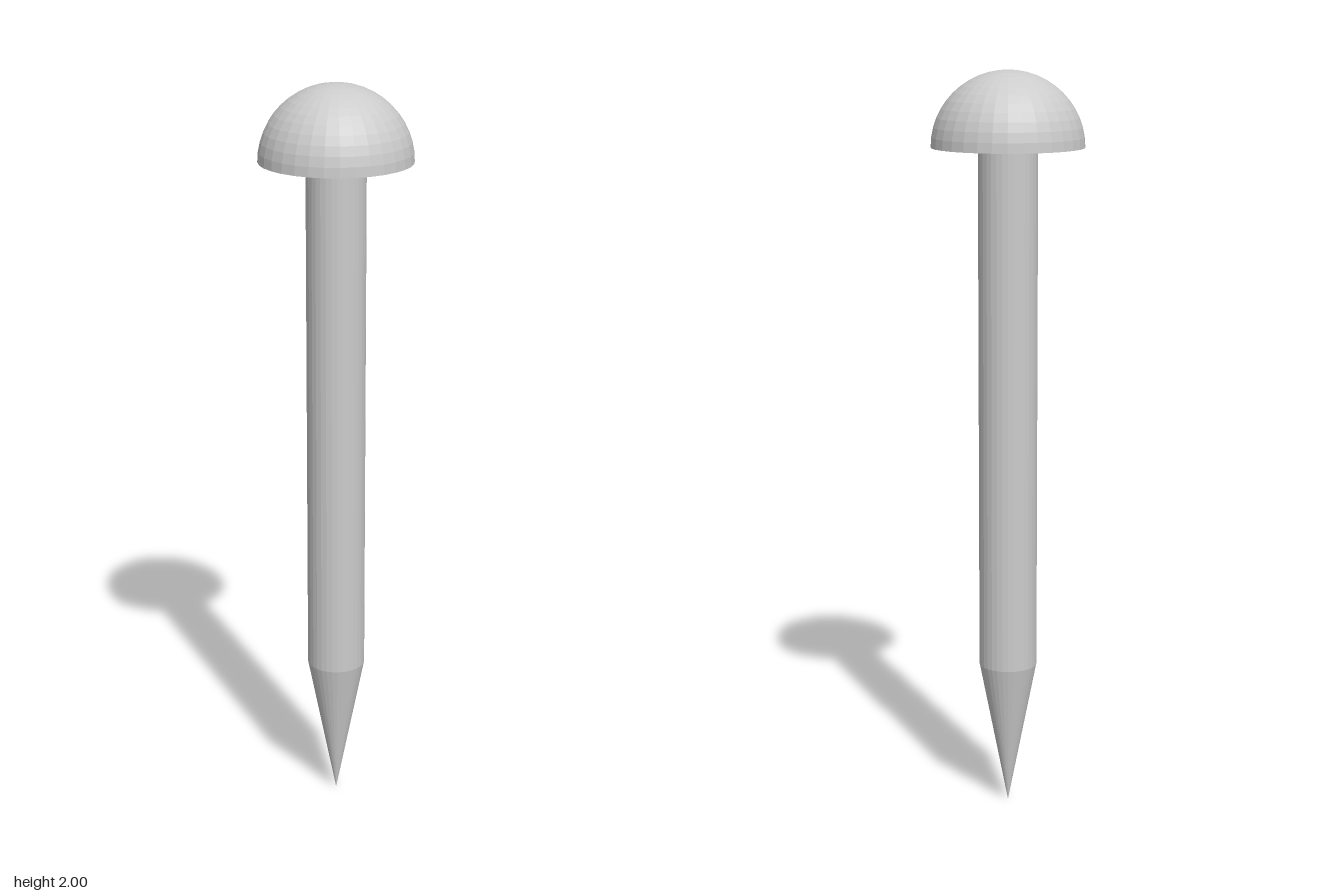
import * as THREE from 'three';

const SEGMENTS = 32;
const SHAFT_RADIUS = 0.078;
const HEAD_RADIUS = 0.2;
const TIP_TOP = 0.4;
const HEAD_BASE = 1.802;

export function createModel() {
  const group = new THREE.Group();
  group.name = 'nail';
  const material = new THREE.MeshStandardMaterial({ color: 0xcccccc, flatShading: true });

  const add = (name, geometry, y) => {
    const mesh = new THREE.Mesh(geometry, material);
    mesh.name = name;
    mesh.position.y = y;
    group.add(mesh);
  };

  // Domed head: flat underside, then a quarter-circle profile up to the crown
  const profile = [new THREE.Vector2(0, 0)];
  const steps = 12;
  for (let i = 0; i <= steps; i++) {
    const a = (i / steps) * Math.PI / 2;
    const r = i === steps ? 0 : HEAD_RADIUS * Math.cos(a);
    profile.push(new THREE.Vector2(r, (2 - HEAD_BASE) * Math.sin(a)));
  }
  add('head', new THREE.LatheGeometry(profile, SEGMENTS), HEAD_BASE);

  // Straight round shaft, open where it meets the head and the tip
  const shaftLength = HEAD_BASE - TIP_TOP;
  add('shaft',
    new THREE.CylinderGeometry(SHAFT_RADIUS, SHAFT_RADIUS, shaftLength, SEGMENTS, 1, true),
    TIP_TOP + shaftLength / 2);

  // Pointed tip
  add('tip', new THREE.CylinderGeometry(SHAFT_RADIUS, 0, TIP_TOP, SEGMENTS, 1, true), TIP_TOP / 2);

  return group;
}
